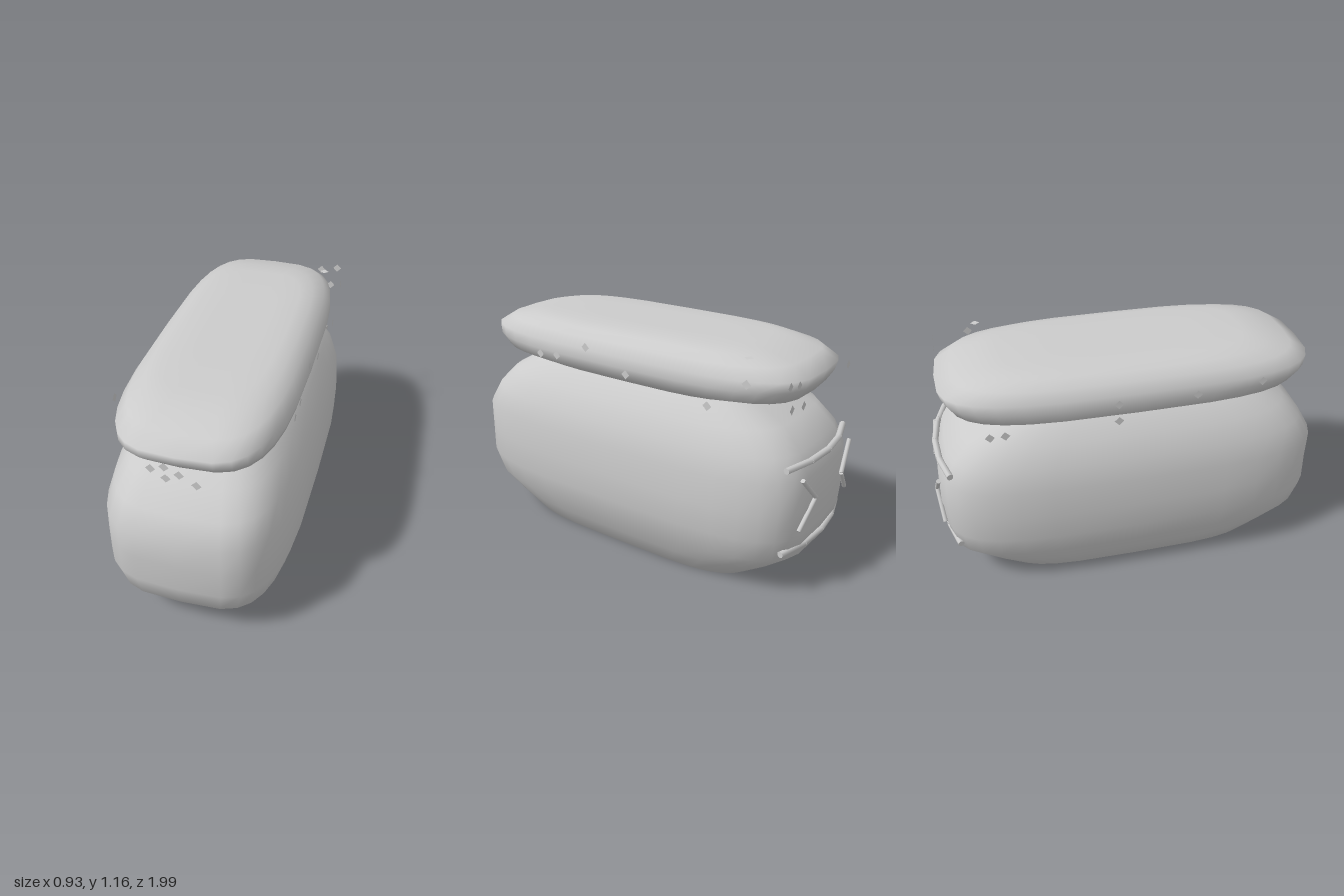
import * as THREE from 'three';

const material = new THREE.MeshStandardMaterial({ color: 0xcccccc });
const flakeMaterial = new THREE.MeshStandardMaterial({ color: 0xcccccc, side: THREE.DoubleSide });

// Smooth closed form from stacked superellipse rings: [y, halfWidth, frontZ, backZ]
function loft(name, rings, power, sides = 32) {
  const positions = [], index = [];
  const root = v => Math.sign(v) * Math.abs(v) ** (2 / power);
  for (const [y, w, front, back] of rings) {
    for (let j = 0; j < sides; j++) {
      const t = (j / sides) * Math.PI * 2;
      const z = root(Math.sin(t));
      positions.push(w * root(Math.cos(t)), y, z > 0 ? z * front : z * back);
    }
  }
  for (let i = 0; i < rings.length - 1; i++) {
    for (let j = 0; j < sides; j++) {
      const k = (j + 1) % sides;
      const a = i * sides + j, b = i * sides + k, c = a + sides, d = b + sides;
      index.push(a, c, b, b, c, d);
    }
  }
  const geometry = new THREE.BufferGeometry();
  geometry.setAttribute('position', new THREE.Float32BufferAttribute(positions, 3));
  geometry.setIndex(index);
  geometry.computeVertexNormals();
  const mesh = new THREE.Mesh(geometry, material);
  mesh.name = name;
  return mesh;
}

// Round bar with closed ends between two points
function bar(from, to, radius) {
  const a = new THREE.Vector3(...from), b = new THREE.Vector3(...to);
  const mesh = new THREE.Mesh(new THREE.CylinderGeometry(radius, radius, a.distanceTo(b), 8), material);
  mesh.position.copy(a).add(b).multiplyScalar(0.5);
  mesh.quaternion.setFromUnitVectors(new THREE.Vector3(0, 1, 0), b.sub(a).normalize());
  return mesh;
}

// Bent bar following a list of points
function bentBar(name, points, radius) {
  const group = new THREE.Group();
  group.name = name;
  for (let i = 0; i < points.length - 1; i++) group.add(bar(points[i], points[i + 1], radius));
  return group;
}

export function createModel() {
  const model = new THREE.Group();
  model.name = 'loafJar';

  // Bulging body
  model.add(loft('body', [
    [0, 0, 0, 0],
    [0, 0.29, 0.66, 0.62],
    [0, 0.335, 0.73, 0.69],
    [0.1, 0.385, 0.85, 0.83],
    [0.2, 0.432, 0.965, 0.95],
    [0.32, 0.463, 0.995, 0.97],
    [0.46, 0.465, 0.99, 0.98],
    [0.61, 0.457, 0.995, 0.97],
    [0.72, 0.428, 0.93, 0.92],
    [0.82, 0.38, 0.83, 0.82],
    [0.9, 0.31, 0.69, 0.65],
    [0.93, 0.27, 0.62, 0.6],
    [0.93, 0, 0, 0],
  ], 4));

  // Cushion-like lid
  model.add(loft('lid', [
    [0.905, 0, 0, 0],
    [0.9, 0.24, 0.58, 0.56],
    [0.91, 0.31, 0.67, 0.66],
    [0.955, 0.385, 0.87, 0.87],
    [1.01, 0.397, 0.925, 0.905],
    [1.06, 0.392, 0.935, 0.92],
    [1.11, 0.36, 0.85, 0.84],
    [1.14, 0.31, 0.72, 0.71],
    [1.157, 0.25, 0.61, 0.6],
    [1.158, 0.14, 0.35, 0.35],
    [1.158, 0, 0, 0],
  ], 3.6));

  // Bands across the back
  for (const [name, y] of [['upperBand', 0.68], ['lowerBand', 0.25]]) {
    model.add(bentBar(name, [
      [-0.32, y, -0.905], [-0.16, y, -0.95], [0, y, -0.965], [0.16, y, -0.95], [0.32, y, -0.905],
    ], 0.016));
  }

  // Chevrons with their tips toward the middle
  for (const s of [-1, 1]) {
    model.add(bentBar(s > 0 ? 'leftChevron' : 'rightChevron', [
      [s * 0.27, 0.63, -0.965], [s * 0.15, 0.5, -0.985], [s * 0.27, 0.37, -0.965],
    ], 0.011));
  }

  // Small diamond flakes scattered around the lid
  const flakes = new THREE.Group();
  flakes.name = 'flakes';
  const flakeGeometry = new THREE.CircleGeometry(0.023, 4);
  const addFlake = (x, y, z, turnX, turnY) => {
    const flake = new THREE.Mesh(flakeGeometry, flakeMaterial);
    flake.name = 'flake';
    flake.position.set(x, y, z);
    flake.rotation.set(turnX, turnY, 0);
    flakes.add(flake);
  };
  for (const [x, y] of [[-0.11, 0.97], [-0.05, 0.99], [-0.045, 0.93], [0.015, 0.96], [0.09, 0.92]])
    addFlake(x, y, 0.925, 0, 0);
  for (const [x, y] of [[0.2, 0.95], [0.26, 1.06], [0.32, 0.97], [0.35, 1.08], [-0.3, 1.0]])
    addFlake(x, y, -0.91, 0, Math.PI);
  for (const [z, y] of [[0.45, 0.99], [0.34, 1.0], [0.15, 1.075], [-0.09, 0.985], [-0.54, 0.93], [-0.73, 1.07]])
    addFlake(0.4, y, z, 0, Math.PI / 2);
  for (const [z, y] of [[-0.7, 0.93], [-0.63, 0.93], [-0.1, 1.02], [-0.1, 0.93], [0.28, 1.02], [0.6, 1.05]])
    addFlake(-0.4, y, z, 0, -Math.PI / 2);
  addFlake(0.31, 1.157, -0.69, -Math.PI / 2, 0);
  model.add(flakes);

  return model;
}
